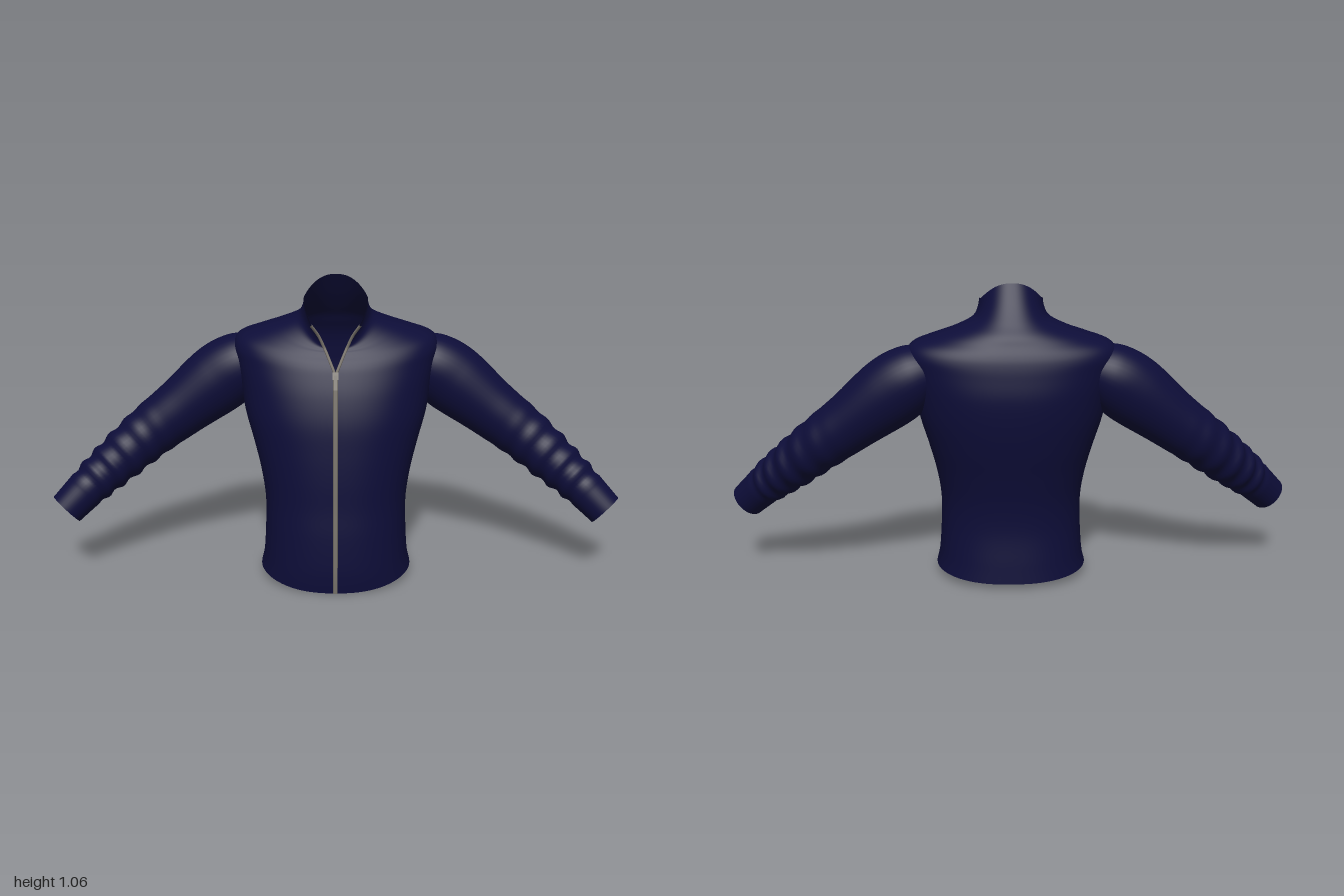
import * as THREE from 'three';

// Torso rings: half width, front z, side z, back z, front y, side y, back y, half gap of the front opening
const BODY = [
  [0.268, 0.245, 0.03, -0.19, 0.003, 0.037, 0.022, 0],
  [0.257, 0.25, 0.03, -0.184, 0.08, 0.09, 0.085, 0],
  [0.25, 0.245, 0.03, -0.174, 0.2, 0.2, 0.2, 0],
  [0.25, 0.236, 0.025, -0.18, 0.3, 0.3, 0.3, 0],
  [0.265, 0.23, 0.01, -0.2, 0.4, 0.4, 0.4, 0],
  [0.29, 0.221, -0.01, -0.225, 0.5, 0.5, 0.5, 0],
  [0.318, 0.208, -0.03, -0.243, 0.6, 0.6, 0.6, 0],
  [0.335, 0.185, -0.05, -0.25, 0.69, 0.7, 0.69, 0],
  [0.352, 0.157, -0.065, -0.243, 0.765, 0.78, 0.765, 0],
  [0.36, 0.14, -0.075, -0.235, 0.8, 0.83, 0.81, 0.012],
  [0.335, 0.125, -0.07, -0.225, 0.822, 0.867, 0.84, 0.022],
  [0.26, 0.117, -0.06, -0.21, 0.835, 0.895, 0.87, 0.028],
  [0.19, 0.111, -0.05, -0.195, 0.843, 0.918, 0.9, 0.032],
  [0.132, 0.108, -0.025, -0.168, 0.856, 0.945, 0.937, 0.038],
  [0.114, 0.12, 0, -0.133, 0.895, 0.975, 0.99, 0.055],
  [0.11, 0.15, 0.01, -0.09, 0.938, 1.0, 1.065, 0.08],
];

// Sleeve rings: centre x, y, z, radius across, radius front to back
const SLEEVE = [
  [0.27, 0.77, -0.08, 0.085, 0.09],
  [0.34, 0.745, -0.08, 0.114, 0.11],
  [0.42, 0.69, -0.076, 0.124, 0.11],
  [0.55, 0.59, -0.062, 0.106, 0.098],
  [0.67, 0.5, -0.042, 0.095, 0.09],
  [0.78, 0.41, 0, 0.084, 0.081],
  [0.87, 0.335, 0.045, 0.072, 0.07],
  [0.955, 0.255, 0.087, 0.063, 0.06],
];

// Smooth interpolation between the rows of a ring list, u from 0 to 1
function sample(rows, u) {
  const n = rows.length - 1;
  const i = Math.min(Math.floor(u * n), n - 1);
  const f = u * n - i;
  const [a, b, c, d] = [i - 1, i, i + 1, i + 2].map((k) => rows[THREE.MathUtils.clamp(k, 0, n)]);
  return b.map((_, k) => 0.5 * (2 * b[k] + (c[k] - a[k]) * f
    + (2 * a[k] - 5 * b[k] + 4 * c[k] - d[k]) * f * f
    + (3 * b[k] - a[k] - 3 * c[k] + d[k]) * f * f * f));
}

// Surface through point(u, v); closed surfaces share the seam vertices
function loft(point, nu, nv, closed, flip) {
  const pos = [], idx = [];
  const cols = closed ? nv : nv + 1;
  for (let i = 0; i <= nu; i++) {
    for (let j = 0; j < cols; j++) pos.push(...point(i / nu, j / nv).toArray());
  }
  for (let i = 0; i < nu; i++) {
    for (let j = 0; j < nv; j++) {
      const a = i * cols + j, b = i * cols + (j + 1) % cols;
      const c = a + cols, d = b + cols;
      if (flip) idx.push(a, c, b, b, c, d);
      else idx.push(a, b, c, b, d, c);
    }
  }
  const g = new THREE.BufferGeometry();
  g.setAttribute('position', new THREE.Float32BufferAttribute(pos, 3));
  g.setIndex(idx);
  g.computeVertexNormals();
  return g;
}

// Body surface, running from one front edge round the back to the other
function bodyPoint(u, v) {
  const [w, zf, zs, zb, yf, ys, yb, gap] = sample(BODY, u);
  const e = 0.85;
  const t0 = Math.asin(Math.pow(Math.max(gap, 0) / w, 1 / e));
  const t = t0 + (2 * Math.PI - 2 * t0) * v;
  const s = Math.sin(t), c = Math.cos(t);
  const f = c > 0 ? Math.min(c / Math.cos(t0), 1) : -c;
  return new THREE.Vector3(
    w * Math.sign(s) * Math.pow(Math.abs(s), e),
    ys + ((c > 0 ? yf : yb) - ys) * f * f,
    zs + ((c > 0 ? zf : zb) - zs) * Math.pow(f, e),
  );
}

// Sleeve surface with soft creases on the forearm and a plain cuff
function sleevePoint(u, v, side) {
  const r = sample(SLEEVE, u);
  const p = new THREE.Vector3(r[0], r[1], r[2]);
  const a = new THREE.Vector3(...sample(SLEEVE, Math.max(u - 0.02, 0)).slice(0, 3));
  const b = new THREE.Vector3(...sample(SLEEVE, Math.min(u + 0.02, 1)).slice(0, 3));
  const T = b.sub(a).normalize();
  const U = new THREE.Vector3(0, 0, 1).addScaledVector(T, -T.z).normalize();
  const V = U.clone().cross(T);
  const ang = v * Math.PI * 2;
  const fade = THREE.MathUtils.smoothstep(u, 0.45, 0.7) * (1 - THREE.MathUtils.smoothstep(u, 0.86, 0.9));
  const fold = 0.005 * fade * Math.sin(u * 85 + 1.6 * Math.sin(ang + 0.6));
  p.addScaledVector(V, (r[3] + fold) * Math.cos(ang));
  p.addScaledVector(U, (r[4] + fold) * Math.sin(ang));
  p.x *= side;
  return p;
}

export function createModel() {
  const group = new THREE.Group();
  const navy = new THREE.MeshStandardMaterial({ color: 0x0d0d38, side: THREE.DoubleSide });
  navy.name = 'navyCloth';
  const grey = new THREE.MeshStandardMaterial({ color: 0x7d7870 });
  grey.name = 'zipperGrey';
  const add = (name, geometry, material) => {
    const mesh = new THREE.Mesh(geometry, material);
    mesh.name = name;
    group.add(mesh);
    return mesh;
  };

  // Body and stand-up collar in one cloth shell
  add('bodyAndCollar', loft(bodyPoint, 90, 96, false, false), navy);

  for (const side of [1, -1]) {
    const label = side > 0 ? 'left' : 'right';
    add(label + 'Sleeve', loft((u, v) => sleevePoint(u, v, side), 84, 40, true, side < 0), navy);

    // Zipper half following the front edge up into the open collar
    const edge = [];
    for (let i = 0; i <= 45; i++) {
      const p = bodyPoint(i / 45, side > 0 ? 0 : 1);
      p.x += side * 0.003;
      edge.push(p);
    }
    add(label + 'Zipper', new THREE.TubeGeometry(new THREE.CatmullRomCurve3(edge), 120, 0.005, 6), grey);
  }

  // Slider and hanging pull tab at the foot of the collar opening
  const slider = add('zipperSlider', new THREE.BoxGeometry(0.02, 0.025, 0.012), grey);
  slider.position.set(0, 0.765, 0.16);
  slider.rotation.x = -0.4;
  const tab = add('zipperPull', new THREE.BoxGeometry(0.012, 0.05, 0.005), grey);
  tab.position.set(0, 0.745, 0.173);
  tab.rotation.x = -0.35;

  return group;
}
